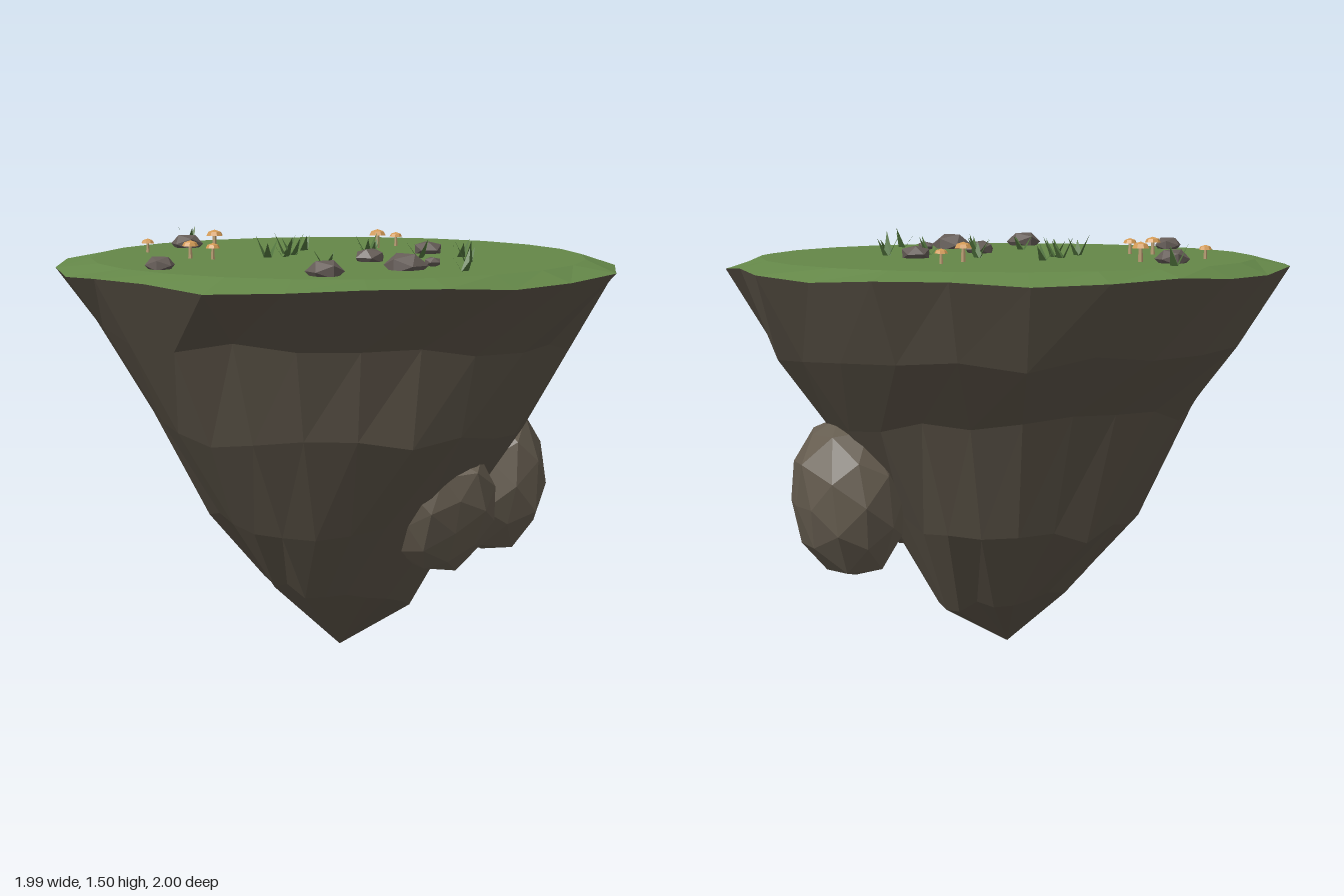
import * as THREE from 'three';

const colour = (name, hex) => {
  const m = new THREE.MeshStandardMaterial({ color: hex });
  m.name = name;
  return m;
};

// Small seeded generator, returns -1..1
function makeRandom(seed) {
  let s = seed;
  return () => {
    s = (s * 16807) % 2147483647;
    return (s / 2147483647) * 2 - 1;
  };
}

// Faceted normals
function flat(geo) {
  const g = geo.index ? geo.toNonIndexed() : geo;
  g.computeVertexNormals();
  return g;
}

// Skin a list of rings (bottom to top, each the same point count)
function stitch(rings) {
  const pos = [];
  const n = rings[0].length;
  for (let r = 0; r < rings.length - 1; r++) {
    for (let i = 0; i < n; i++) {
      const j = (i + 1) % n;
      const [a, b, c, d] = [rings[r][i], rings[r][j], rings[r + 1][j], rings[r + 1][i]];
      for (const t of [[a, b, c], [a, c, d]]) {
        if (t[0].equals(t[1]) || t[1].equals(t[2]) || t[0].equals(t[2])) continue;
        t.forEach((p) => pos.push(p.x, p.y, p.z));
      }
    }
  }
  const g = new THREE.BufferGeometry();
  g.setAttribute('position', new THREE.Float32BufferAttribute(pos, 3));
  return flat(g);
}

const SIDES = 24;
const TOP = 1.424;
const ring = (fn) => Array.from({ length: SIDES }, (_, i) => {
  const a = (i / SIDES) * Math.PI * 2;
  const [r, y] = fn(i, a);
  return new THREE.Vector3(Math.sin(a) * r, y, Math.cos(a) * r);
});

// Blocky rounded rock: icosahedron pushed towards a box, with uneven radius
function rockGeometry(seed, detail, amount, power) {
  const g = new THREE.IcosahedronGeometry(1, detail);
  const p = g.attributes.position;
  const v = new THREE.Vector3();
  for (let i = 0; i < p.count; i++) {
    v.fromBufferAttribute(p, i);
    const norm = [v.x, v.y, v.z].reduce((s, c) => s + Math.abs(c) ** power, 0) ** (1 / power);
    const k = (1 + amount * Math.sin(v.x * 5 + seed) * Math.cos(v.y * 4 + v.z * 3 + seed * 2)) / norm;
    p.setXYZ(i, v.x * k, v.y * k, v.z * k);
  }
  return flat(g);
}

export function createModel() {
  const group = new THREE.Group();
  group.name = 'floatingIsland';
  const rock = colour('earth rock', 0x5c5448);
  const boulderMat = colour('boulder rock', 0x665d50);
  const stoneMat = colour('grey stone', 0x655c57);
  const grass = colour('grass', 0x648748);
  const blade = colour('grass blade', 0x52753e);
  blade.side = THREE.DoubleSide;
  const capMat = colour('mushroom cap', 0xd39a55);
  const stemMat = colour('mushroom stem', 0xb89c70);

  const add = (name, geo, mat, parent = group) => {
    const m = new THREE.Mesh(geo, mat);
    m.name = name;
    parent.add(m);
    return m;
  };

  // Uneven rim shared by the rock and the turf
  const rnd = makeRandom(4711);
  const rimR = [1, 0.99, 1, 1.04, 0.99, 1.01, 0.98, 1.02, 0.995, 1, 0.995, 0.99,
    1, 1, 0.98, 0.985, 1.01, 1.01, 1, 1, 0.99, 1.04, 1.02, 0.995];
  const rim = ring((i) => [rimR[i], 1.391 + 0.01 * Math.sin(i * 1.9 + 2.2)]);

  // Rock body: [radius, height] towards front, right, back and left
  const levels = [
    [[0.3, 0.22], [0.26, 0.15], [0.26, 0.22], [0.27, 0.27]],
    [[0.47, 0.5], [0.45, 0.5], [0.49, 0.47], [0.46, 0.5]],
    [[0.72, 0.84], [0.66, 0.84], [0.66, 0.92], [0.67, 0.84]],
    [[0.79, 1.17], [0.84, 1.1], [0.87, 1.12], [0.87, 1.19]],
  ];
  const tip = Array.from({ length: SIDES }, () => new THREE.Vector3(-0.01, 0, 0.04));
  const body = levels.map((sides) => ring((i, a) => {
    const q = (a / Math.PI) * 2;
    const k = Math.floor(q);
    const [from, to] = [sides[k], sides[(k + 1) % 4]];
    const mix = (c) => THREE.MathUtils.lerp(from[c], to[c], q - k);
    return [mix(0) + rnd() * 0.013, mix(1) + rnd() * 0.025];
  }));
  add('rockBody', stitch([tip, ...body, rim]), rock);

  // Turf: sloping rim and flat middle
  const inner = ring(() => [0.885, TOP]);
  const centre = Array.from({ length: SIDES }, () => new THREE.Vector3(0, TOP, 0));
  add('turf', stitch([rim, inner, centre]), grass);

  // Boulders stuck to the side
  const right = add('sideBoulder', rockGeometry(1.3, 1, 0.05, 2.5), boulderMat);
  right.position.set(0.61, 0.58, -0.02);
  right.scale.set(0.19, 0.28, 0.24);
  right.rotation.z = -0.1;
  const front = add('frontBoulder', rockGeometry(2.6, 1, 0.05, 2.5), boulderMat);
  front.position.set(0.24, 0.55, 0.405);
  front.scale.set(0.185, 0.235, 0.135);
  front.rotation.x = 0.45;

  // Stones on the turf: x, z, radius
  const stones = [[-0.4, -0.56, 0.062], [0.345, 0.005, 0.056], [-0.74, 0.27, 0.054],
    [0.03, 0.235, 0.057], [0.03, 0.57, 0.076], [-0.3, 0.68, 0.066], [0.16, 0.49, 0.032]];
  stones.forEach(([x, z, r], i) => {
    const s = add('stone', rockGeometry(i, 0, 0.04, 2), stoneMat);
    s.position.set(x, TOP + 0.014, z);
    s.scale.set(r, r * 0.6, r);
    s.rotation.y = i * 1.3;
  });

  // Mushrooms: x, z, cap radius, total height
  const mushrooms = [[-0.32, -0.47, 0.032, 0.07], [-0.6, -0.39, 0.024, 0.05],
    [-0.53, -0.08, 0.029, 0.065], [-0.465, -0.02, 0.026, 0.058],
    [0.26, -0.28, 0.032, 0.07], [0.36, -0.345, 0.024, 0.052]];
  mushrooms.forEach(([x, z, r, h], i) => {
    const m = new THREE.Group();
    m.name = 'mushroom';
    m.position.set(x, TOP, z);
    m.rotation.y = i;
    add('stem', flat(new THREE.CylinderGeometry(r * 0.2, r * 0.28, h - 0.01, 6)), stemMat, m)
      .position.y = (h - 0.01) / 2;
    const profile = [[0, 0], [r, 0], [r * 0.75, r * 0.45], [0, r * 0.7]]
      .map(([px, py]) => new THREE.Vector2(px, py));
    add('cap', flat(new THREE.LatheGeometry(profile, 8)), capMat, m).position.y = h - r * 0.7;
    group.add(m);
  });

  // Grass tufts: three leaning triangular blades each
  const bladeGeo = new THREE.BufferGeometry();
  bladeGeo.setAttribute('position', new THREE.Float32BufferAttribute(
    [-0.015, 0, 0.008, 0.015, 0, 0.008, 0, 0.075, 0.045], 3));
  bladeGeo.computeVertexNormals();
  const tufts = [[-0.35, -0.7], [-0.035, -0.28], [-0.145, -0.16], [-0.14, -0.1], [-0.26, -0.025],
    [-0.19, -0.04], [0.13, -0.05], [0.075, 0.13], [0.055, 0.17], [0.245, 0.17], [0.4, 0.18],
    [-0.19, 0.39], [0.335, 0.39], [0.19, 0.69]];
  tufts.forEach(([x, z], i) => {
    const t = new THREE.Group();
    t.name = 'grassTuft';
    t.position.set(x, TOP, z);
    t.rotation.y = i * 2.1;
    for (let b = 0; b < 3; b++) {
      const m = add('blade', bladeGeo, blade, t);
      m.rotation.y = b * 2.09 + rnd() * 0.4;
      m.scale.y = 0.85 + rnd() * 0.2;
    }
    group.add(t);
  });

  return group;
}
